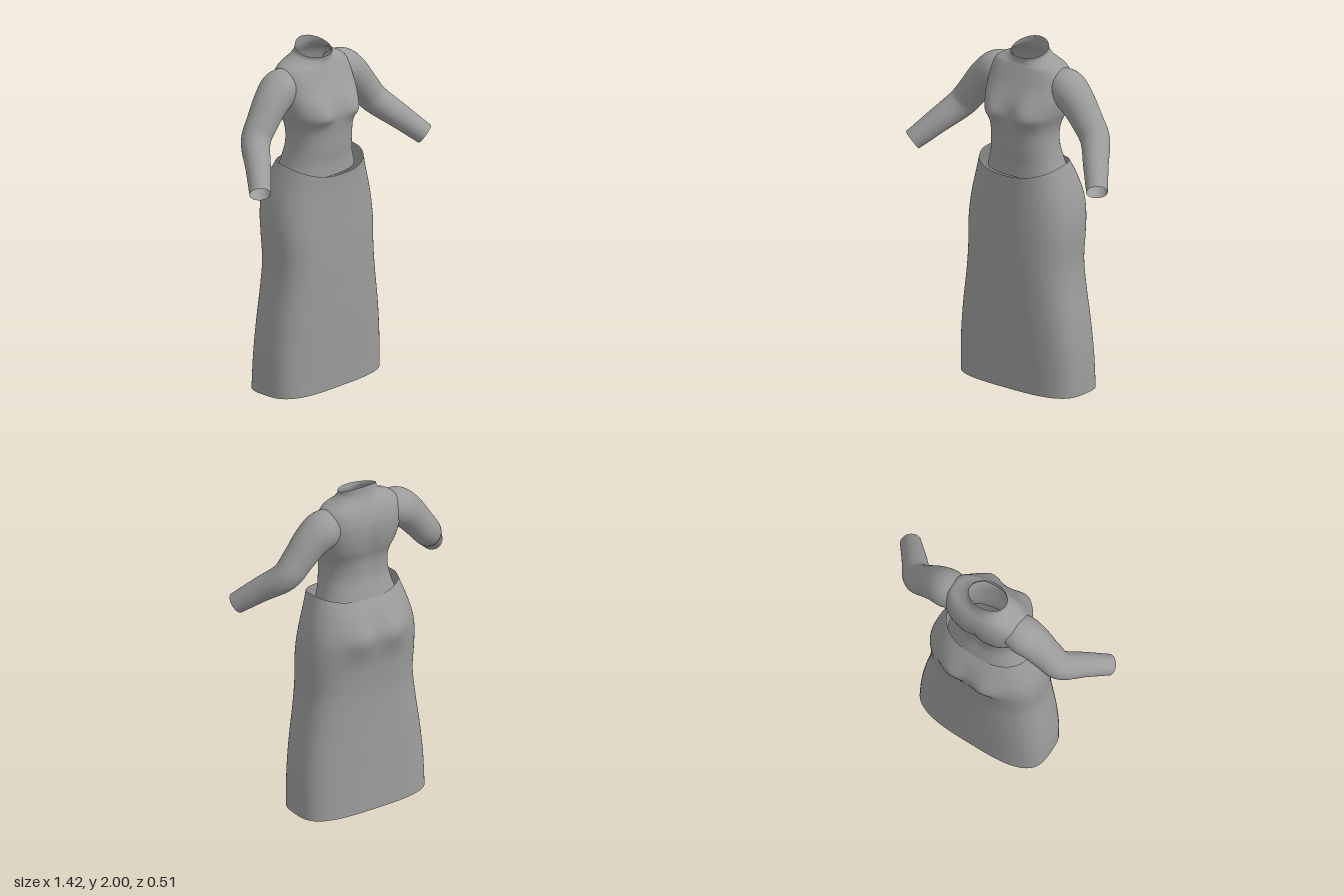
import * as THREE from 'three';

const SEG = 72;

// Closed-ring surface: point(v, a) gives a position, v runs 0..1 along the part
function surface(name, rows, point, material) {
  const pos = [], index = [];
  for (let j = 0; j <= rows; j++) {
    for (let i = 0; i < SEG; i++) {
      pos.push(...point(j / rows, (i / SEG) * Math.PI * 2));
      if (j === rows) continue;
      const a = j * SEG + i, b = j * SEG + ((i + 1) % SEG);
      index.push(a, a + SEG, b, b, a + SEG, b + SEG);
    }
  }
  const g = new THREE.BufferGeometry();
  g.setAttribute('position', new THREE.Float32BufferAttribute(pos, 3));
  g.setIndex(index);
  g.computeVertexNormals();
  const mesh = new THREE.Mesh(g, material);
  mesh.name = name;
  return mesh;
}

// Smooth interpolation through a table of rows
function sample(table, v) {
  const n = table.length - 1, f = v * n, k = Math.min(Math.floor(f), n - 1), t = f - k;
  const row = (i) => table[Math.max(0, Math.min(n, i))];
  return table[0].map((_, c) => {
    const [p0, p1, p2, p3] = [row(k - 1)[c], row(k)[c], row(k + 1)[c], row(k + 2)[c]];
    const m1 = (p2 - p0) / 2, m2 = (p3 - p1) / 2;
    return p1 + m1 * t + (3 * (p2 - p1) - 2 * m1 - m2) * t * t + (2 * (p1 - p2) + m1 + m2) * t * t * t;
  });
}

const bump = (d, w) => Math.exp(-(d * d) / (w * w));
const power = (c, n) => Math.sign(c) * Math.pow(Math.abs(c), 2 / n);

// Rings: [y front, y back, arch of sides, half width, z front, z back, squareness]
function body(name, table, shapeZ, material) {
  return surface(name, table.length * 5, (v, a) => {
    const [yf, yb, arch, hw, zf, zb, n] = sample(table, v);
    const x = hw * power(Math.cos(a), n), s = power(Math.sin(a), n);
    const u = (s + 1) / 2;
    const y = yb + (yf - yb) * u + arch * (1 - s * s);
    const z = (zf + zb) / 2 + (s * (zf - zb)) / 2;
    return [x, y, z + shapeZ(x, y, s)];
  }, material);
}

export function createModel() {
  const group = new THREE.Group();
  const grey = new THREE.MeshStandardMaterial({ color: 0x9c9c9c, side: THREE.DoubleSide });
  grey.name = 'plain grey';

  // Fitted top, open at the neck and waist
  const torso = [
    [1.25, 1.25, 0, 0.245, 0.165, -0.17, 2.3],
    [1.33, 1.33, 0, 0.22, 0.165, -0.15, 2.3],
    [1.42, 1.42, 0, 0.203, 0.175, -0.13, 2.3],
    [1.5, 1.5, 0, 0.2, 0.18, -0.13, 2.4],
    [1.56, 1.56, 0, 0.212, 0.185, -0.14, 2.5],
    [1.62, 1.62, 0, 0.235, 0.185, -0.16, 2.6],
    [1.7, 1.7, 0, 0.25, 0.165, -0.177, 2.6],
    [1.78, 1.78, 0, 0.25, 0.128, -0.18, 2.6],
    [1.84, 1.84, 0, 0.24, 0.1, -0.168, 2.6],
    [1.875, 1.885, 0, 0.215, 0.084, -0.15, 2.5],
    [1.892, 1.92, 0, 0.16, 0.077, -0.13, 2.2],
    [1.91, 1.955, 0, 0.121, 0.076, -0.117, 2],
    [1.93, 2, -0.01, 0.113, 0.08, -0.11, 2],
  ];
  group.add(body('torso', torso, (x, y, s) => {
    const bust = 0.036 * bump(Math.abs(x) - 0.12, 0.075) * bump(y - 1.615, y < 1.615 ? 0.05 : 0.09);
    const spine = 0.014 * bump(x, 0.035) * bump(y - 1.62, 0.17);
    return s > 0 ? bust * Math.min(1, s * 1.5) : spine * -s;
  }, grey));

  // Long skirt, open at waist and hem
  const skirt = [
    [0, 0, 0, 0.41, 0.205, -0.207, 3.2],
    [0.2, 0.2, 0, 0.405, 0.212, -0.202, 3.1],
    [0.4, 0.4, 0, 0.386, 0.22, -0.198, 3],
    [0.6, 0.6, 0, 0.358, 0.225, -0.194, 2.9],
    [0.75, 0.75, 0, 0.345, 0.228, -0.194, 2.8],
    [0.9, 0.9, 0, 0.35, 0.226, -0.207, 2.7],
    [1.02, 1.02, 0, 0.346, 0.222, -0.224, 2.6],
    [1.12, 1.12, 0, 0.33, 0.22, -0.228, 2.5],
    [1.21, 1.23, 0.01, 0.3, 0.22, -0.2, 2.4],
    [1.27, 1.31, 0.04, 0.268, 0.222, -0.157, 2.4],
  ];
  group.add(body('skirt', skirt, (x, y, s) => (s < 0
    ? 0.034 * s * bump(Math.abs(x) - 0.11, 0.09) * bump(y - 1.1, 0.1) : 0), grey));

  // Sleeved arms bent forward, open at the wrists: [x, y, z, radius]
  const arm = [
    [0.18, 1.785, -0.045, 0.095],
    [0.25, 1.765, -0.04, 0.11],
    [0.325, 1.708, -0.032, 0.101],
    [0.4, 1.62, -0.024, 0.09],
    [0.475, 1.525, -0.005, 0.083],
    [0.565, 1.425, 0.1, 0.071],
    [0.66, 1.318, 0.208, 0.06],
  ];
  const Z = new THREE.Vector3(0, 0, 1);
  const centre = (v) => new THREE.Vector3(...sample(arm, v).slice(0, 3));
  for (const [name, side] of [['leftArm', 1], ['rightArm', -1]]) {
    const mesh = surface(name, 36, (v, a) => {
      const r = sample(arm, v)[3];
      const T = centre(Math.min(1, v + 0.02)).sub(centre(Math.max(0, v - 0.02))).normalize();
      const V = Z.clone().addScaledVector(T, -Z.dot(T)).normalize();
      const U = T.clone().cross(V);
      return centre(v).addScaledVector(U, r * Math.cos(a)).addScaledVector(V, r * Math.sin(a)).toArray();
    }, grey);
    mesh.scale.x = side;
    group.add(mesh);
  }
  return group;
}
